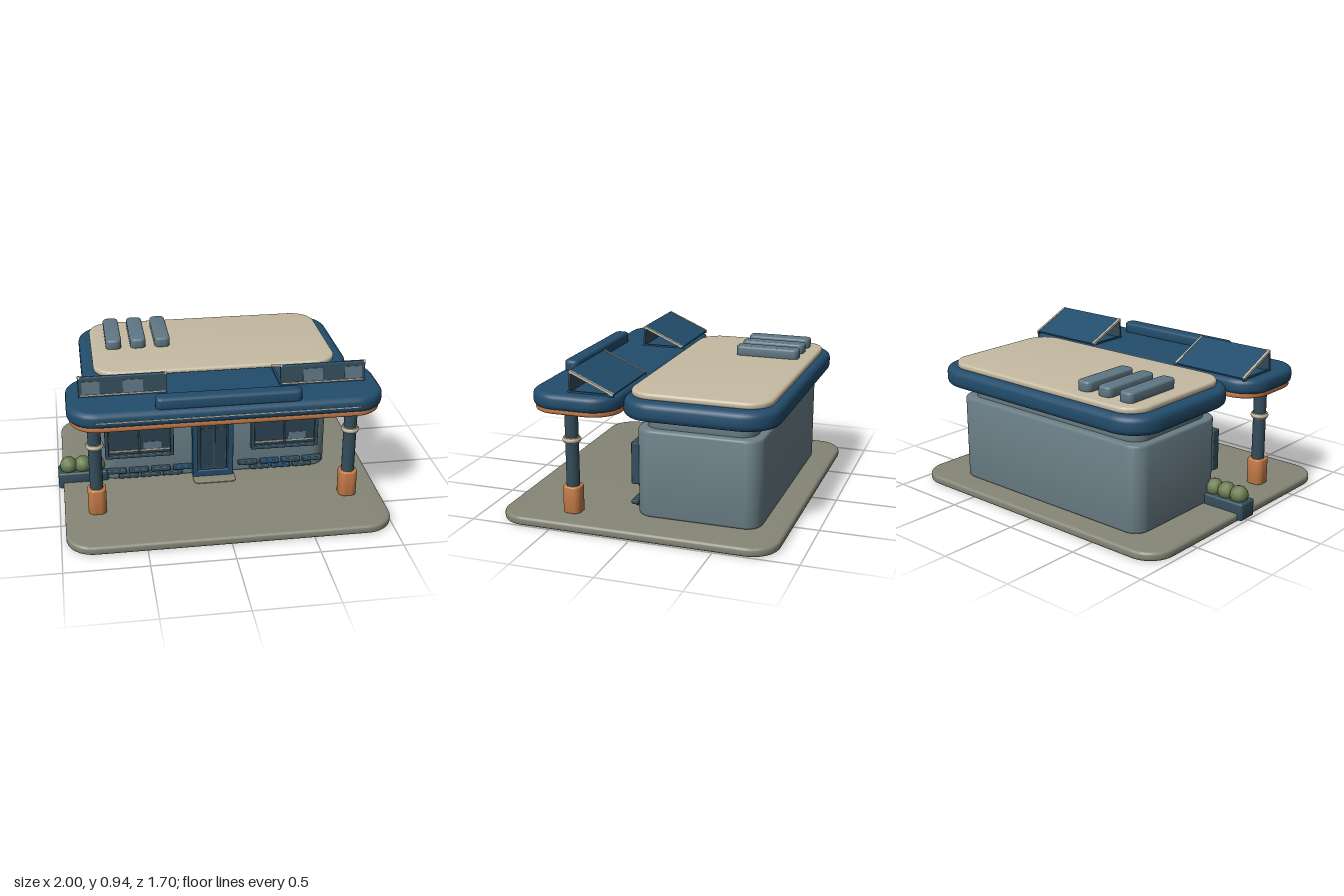
import * as THREE from 'three';
import { toCreasedNormals } from 'three/addons/utils/BufferGeometryUtils.js';
import { RoundedBoxGeometry } from 'three/addons/geometries/RoundedBoxGeometry.js';

const material = (name, color) => {
  const m = new THREE.MeshStandardMaterial({ color });
  m.name = name;
  return m;
};

export function createModel() {
  const model = new THREE.Group();
  model.name = 'canopyShop';

  const navy = material('navy', 0x224d6c);
  const slate = material('dark slate', 0x344d5b);
  const wallGrey = material('wall grey', 0x6b7f87);
  const paving = material('paving', 0x858676);
  const cream = material('cream', 0xc6baa2);
  const orange = material('orange', 0xc47a48);
  const green = material('leaf green', 0x687b4e);
  const glass = material('dark glass', 0x2b4250);
  const paleGlass = material('blue grey', 0x5f7784);

  const add = (name, geometry, mat, parent = model) => {
    const mesh = new THREE.Mesh(geometry, mat);
    mesh.name = name;
    parent.add(mesh);
    return mesh;
  };

  const group = (name) => {
    const g = new THREE.Group();
    g.name = name;
    model.add(g);
    return g;
  };

  // Horizontal slab with round corners in plan and a soft edge
  const slab = (name, mat, [x0, x1], [y0, y1], [z0, z1], r, bevel, parent) => {
    const w = (x1 - x0) / 2, d = (z1 - z0) / 2;
    const s = new THREE.Shape();
    s.moveTo(w, d - r);
    s.absarc(w - r, d - r, r, 0, Math.PI / 2);
    s.absarc(r - w, d - r, r, Math.PI / 2, Math.PI);
    s.absarc(r - w, r - d, r, Math.PI, Math.PI * 1.5);
    s.absarc(w - r, r - d, r, Math.PI * 1.5, Math.PI * 2);
    let g = new THREE.ExtrudeGeometry(s, {
      depth: y1 - y0 - 2 * bevel, curveSegments: 8, bevelThickness: bevel,
      bevelSize: bevel, bevelOffset: -bevel, bevelSegments: 3,
    });
    g.rotateX(-Math.PI / 2);
    g.translate((x0 + x1) / 2, y0 + bevel, (z0 + z1) / 2);
    return add(name, toCreasedNormals(g, 0.7), mat, parent);
  };

  // Box given by its limits, softened when a radius is given
  const box = (name, mat, [x0, x1], [y0, y1], [z0, z1], parent, r = 0) => {
    const size = [x1 - x0, y1 - y0, z1 - z0];
    const g = r ? new RoundedBoxGeometry(...size, 2, r) : new THREE.BoxGeometry(...size);
    g.translate((x0 + x1) / 2, (y0 + y1) / 2, (z0 + z1) / 2);
    return add(name, g, mat, parent);
  };

  // Ground, walls and main roof
  slab('groundSlab', paving, [-0.97, 1], [0, 0.052], [-0.85, 0.85], 0.17, 0.015);
  slab('doorMat', paving, [-0.14, 0.13], [0.05, 0.058], [0.06, 0.2], 0.03, 0.002);
  slab('walls', wallGrey, [-0.727, 0.75], [0.05, 0.587], [-0.7, 0.06], 0.1, 0.015);
  slab('mainRoof', navy, [-0.815, 0.87], [0.67, 0.785], [-0.8, 0.14], 0.21, 0.035);
  slab('roofCore', wallGrey, [-0.68, 0.7], [0.58, 0.68], [-0.65, 0.02], 0.1, 0.005);
  slab('roofTop', cream, [-0.742, 0.79], [0.78, 0.82], [-0.75, 0.1], 0.15, 0.014);
  for (const x of [-0.597, -0.44, -0.283])
    slab('roofVent', paleGlass, [x - 0.05, x + 0.05], [0.815, 0.88], [-0.67, -0.262], 0.035, 0.012);

  // Front canopy
  slab('canopy', navy, [-0.925, 0.955], [0.715, 0.81], [0.105, 0.657], 0.18, 0.03);
  slab('canopySoffit', orange, [-0.91, 0.94], [0.69, 0.728], [0.115, 0.647], 0.17, 0.012);
  box('canopyStripe', cream, [-0.76, 0.785], [0.754, 0.76], [0.652, 0.66]);
  slab('signBar', navy, [-0.415, 0.445], [0.8, 0.877], [0.542, 0.635], 0.035, 0.018);

  // Sloping skylights on the canopy, mirrored about its middle
  for (const side of [-1, 1]) {
    const g = group(side < 0 ? 'rightSkylight' : 'leftSkylight');
    g.position.x = 0.013 + side * 0.6;
    const slope = Math.atan2(0.118, 0.27);
    const tilted = (name, mat, w, x, t) => {
      const m = add(name, new THREE.BoxGeometry(w, t, 0.295), mat, g);
      m.position.set(x, 0.876, 0.266);
      m.rotation.x = -slope;
    };
    tilted('skylightPanel', navy, 0.5, 0, 0.01);
    for (const e of [-1, 1]) tilted('skylightRail', cream, 0.014, e * 0.254, 0.015);
    const front = new THREE.Group();
    front.name = 'skylightFront';
    front.position.set(0, 0.812, 0.41);
    front.rotation.x = -0.08;
    g.add(front);
    box('skylightWall', slate, [-0.26, 0.26], [0, 0.12], [-0.012, 0], front);
    box('skylightSill', cream, [-0.25, 0.25], [0.008, 0.014], [0, 0.004], front);
    for (const [a, b] of [[0.135, 0.24], [-0.12, 0]])
      box('skylightPane', paleGlass, side < 0 ? [-b - 0.0, -a].map((v) => v) : [a, b],
        [0.018, 0.096], [0, 0.004], front);
    for (const e of [-1, 1])
      box('skylightFoot', navy, [e * 0.254 - 0.007, e * 0.254 + 0.007], [0.804, 0.82], [0.13, 0.41], g);
  }

  // Columns
  for (const x of [-0.77, 0.795]) {
    const g = group(x < 0 ? 'rightColumn' : 'leftColumn');
    g.position.set(x, 0, 0.43);
    add('shaft', new THREE.CylinderGeometry(0.04, 0.04, 0.64, 20), slate, g).position.y = 0.37;
    add('collar', new THREE.CylinderGeometry(0.048, 0.048, 0.034, 20), cream, g).position.y = 0.503;
    const ring = add('collarRing', new THREE.TorusGeometry(0.04, 0.016, 8, 24), cream, g);
    ring.rotation.x = Math.PI / 2;
    ring.position.y = 0.503;
    slab('foot', orange, [-0.056, 0.056], [0.05, 0.217], [-0.056, 0.056], 0.04, 0.008, g);
  }

  // Windows
  for (const side of [-1, 1]) {
    const g = group(side < 0 ? 'rightWindow' : 'leftWindow');
    const x = side < 0 ? -0.478 : 0.462;
    g.position.x = x;
    box('glass', glass, [-0.2, 0.2], [0.235, 0.465], [0.05, 0.085], g);
    for (const e of [-1, 1])
      box('jamb', slate, [e * 0.208 - 0.011, e * 0.208 + 0.011], [0.22, 0.48], [0.05, 0.105], g, 0.006);
    for (const y of [0.231, 0.469])
      box('rail', slate, [-0.219, 0.219], [y - 0.011, y + 0.011], [0.05, 0.105], g, 0.006);
    box('mullion', slate, [-0.006, 0.006], [0.235, 0.465], [0.08, 0.1], g);
    box('transom', slate, [-0.2, 0.2], [0.415, 0.42], [0.08, 0.095], g);
    box('ledge', cream, [-0.19, 0.19], [0.262, 0.27], [0.083, 0.09], g);
    box('reflection', paleGlass, [0.025, 0.14], [0.27, 0.322], [0.083, 0.088], g);
  }

  // Door
  const door = group('door');
  for (const x of [-0.122, 0.107])
    box('doorPost', navy, [x - 0.017, x + 0.017], [0.052, 0.525], [0.05, 0.115], door, 0.008);
  box('doorHead', navy, [-0.139, 0.124], [0.49, 0.525], [0.05, 0.115], door, 0.008);
  box('doorStep', navy, [-0.139, 0.124], [0.052, 0.1], [0.05, 0.115], door, 0.008);
  box('doorPanel', slate, [-0.11, 0.095], [0.08, 0.5], [0.05, 0.1], door);
  box('doorLeaf', slate, [-0.092, 0.077], [0.12, 0.5], [0.1, 0.146], door, 0.006);
  for (const x of [-0.05, 0.035])
    box('doorGlass', glass, [x - 0.035, x + 0.035], [0.14, 0.48], [0.14, 0.149], door);
  box('doorRail', slate, [-0.09, 0.075], [0.415, 0.421], [0.14, 0.152], door);
  box('doorHandle', paleGlass, [0.066, 0.072], [0.2, 0.25], [0.145, 0.155], door);

  // Two staggered brick courses, left open at the door
  const bricks = group('brickCourses');
  for (const [y, start, count] of [[0.07, -0.615, 9], [0.105, -0.69, 10]])
    for (let i = 0; i < count; i++) {
      const x = start + i * 0.142;
      if (x + 0.125 > -0.13 && x < 0.11) continue;
      box('brick', i % 4 === 3 ? navy : slate, [x, x + 0.125], [y, y + 0.026], [0.05, 0.095], bricks, 0.006);
    }

  // Planter with shrubs
  const planter = group('planter');
  slab('trough', slate, [-1, -0.68], [0.01, 0.117], [-0.07, 0.066], 0.02, 0.01, planter);
  for (const x of [-0.93, -0.84, -0.75]) {
    const shrub = add('shrub', new THREE.IcosahedronGeometry(0.058, 1), green, planter);
    shrub.position.set(x, 0.145, 0);
  }

  return model;
}
